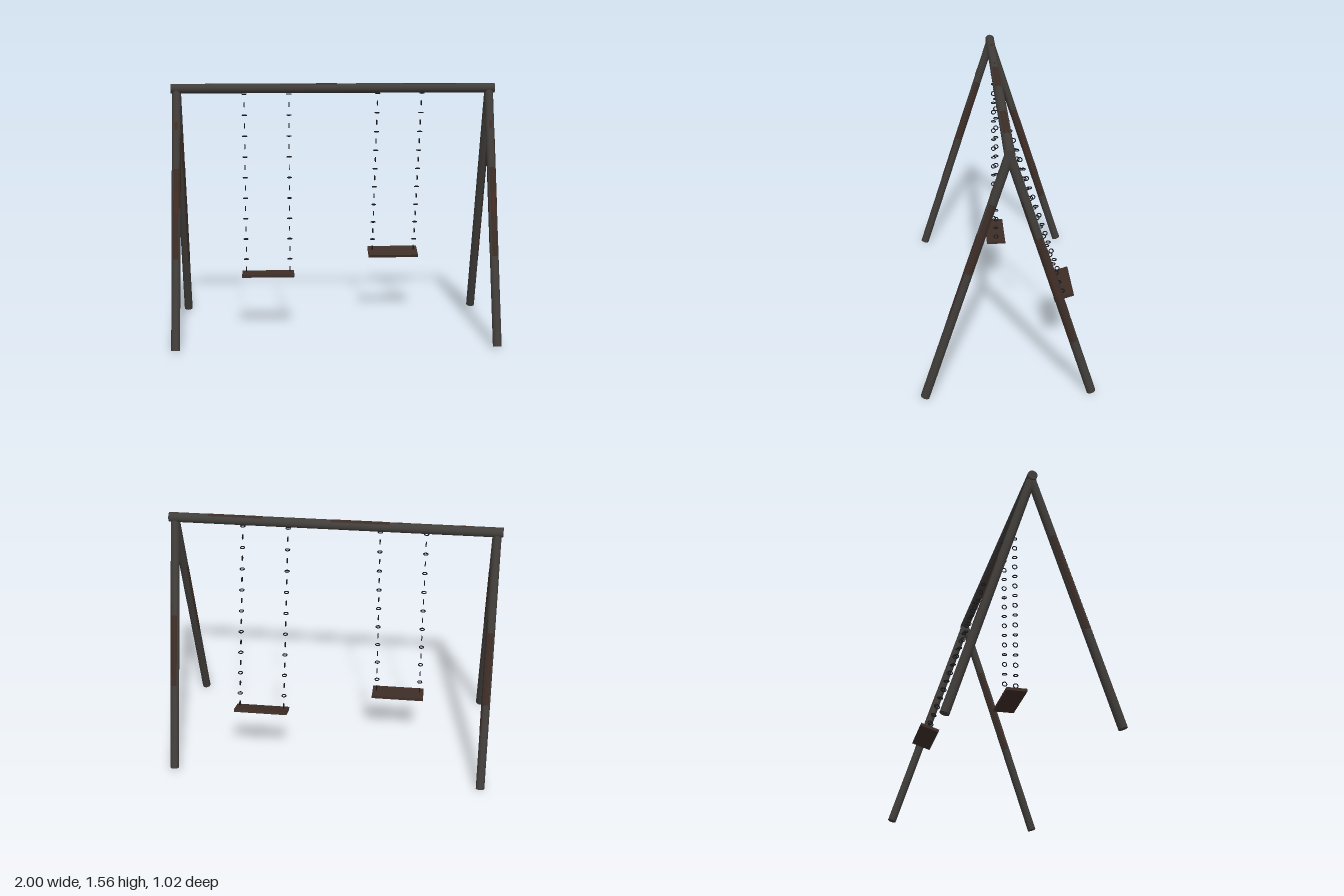
import * as THREE from 'three';

const mat = (name, color) => {
  const m = new THREE.MeshStandardMaterial({ color });
  m.name = name;
  return m;
};

export function createModel() {
  const steel = mat('dark steel', 0x403d3a);
  const rust = mat('rust', 0x3d2d26);
  const redRust = mat('red rust', 0x472c23);
  const wood = mat('brown wood', 0x3e2e27);
  const iron = mat('black iron', 0x15171b);

  const model = new THREE.Group();
  model.name = 'swingSet';
  const add = (parent, name, geometry, material, x = 0, y = 0, z = 0) => {
    const mesh = new THREE.Mesh(geometry, material);
    mesh.name = name;
    mesh.position.set(x, y, z);
    parent.add(mesh);
    return mesh;
  };

  // Upright pole with thin rust patches: [from, to, start angle, sweep, colour]
  const pole = (name, radius, length, patches) => {
    const group = new THREE.Group();
    group.name = name;
    add(group, name + 'Tube', new THREE.CylinderGeometry(radius, radius, length, 24), steel);
    for (const [from, to, start, sweep, material] of patches) {
      const r = radius + (material === redRust ? 0.0012 : 0.0008);
      const shell = new THREE.CylinderGeometry(r, r, to - from, 10, 1, true, start, sweep);
      add(group, 'rustPatch', shell, material, 0, (from + to) / 2, 0);
    }
    model.add(group);
    return group;
  };

  // Top beam along x, rusty on its upper face
  const beamY = 1.53;
  const beam = pole('topBeam', 0.0295, 2, [
    [-0.02, 0.33, 0.9, 1.35, rust],
    [-0.76, -0.43, 0.9, 1.3, rust],
    [0.75, 0.79, 1.3, 0.6, rust],
    [0.38, 0.41, 1.3, 0.6, rust],
  ]);
  beam.rotation.z = Math.PI / 2;
  beam.position.y = beamY;

  // Two A-frames of splayed legs
  const foot = new THREE.Vector2(0.483, 0.008), apex = 1.52;
  const legLength = Math.hypot(foot.x, apex - foot.y);
  const splay = Math.atan2(foot.x, apex - foot.y);
  for (const side of [-1, 1]) {
    for (const end of [-1, 1]) {
      const patches = end > 0
        ? [
          [-0.25, 0.3, -0.6, 1.3, rust],
          [0.06, 0.5, 0.8, 1.6, rust],
          [-0.2, 0.4, 3.9, 1.2, rust],
          [0.02, 0.14, -0.3, 0.7, redRust],
          [0.54, 0.59, -0.3, 0.6, redRust],
        ]
        : [
          [-0.42, 0.28, 0.6, 1.8, rust],
          [0.28, 0.52, 0.4, 0.7, rust],
          [-0.25, 0.2, 2.5, 1.3, rust],
          [-0.1, 0.05, 1.2, 0.7, redRust],
        ];
      const leg = pole(end > 0 ? 'frontLeg' : 'backLeg', 0.0265, legLength, patches);
      leg.position.set(side * 0.965, (apex + foot.y) / 2, end * foot.x / 2);
      leg.rotation.x = -end * splay;
    }
  }

  // Swings hang from the beam axis; links alternate upright and level
  const linkGeometry = new THREE.TorusGeometry(0.0135, 0.0033, 6, 14);
  const swing = (name, x, angle) => {
    const group = new THREE.Group();
    group.name = name;
    group.position.set(x, beamY, 0);
    group.rotation.x = angle;
    add(group, 'seat', new THREE.BoxGeometry(0.328, 0.018, 0.122), wood, 0, 0.356 - beamY, 0);
    for (const side of [-1, 1]) {
      const chain = new THREE.Group();
      chain.name = 'chain';
      chain.position.x = side * 0.1375;
      for (let i = 0; i < 18; i++) {
        const link = add(chain, 'chainLink', linkGeometry, iron, 0, 0.388 + i * 0.0651 - beamY, 0);
        if (i % 2) link.rotation.x = Math.PI / 2 - angle;
        else link.rotation.y = Math.PI / 2;
      }
      group.add(chain);
    }
    model.add(group);
  };
  swing('restingSwing', -0.415, 0);
  swing('movingSwing', 0.412, 0.311);

  return model;
}
